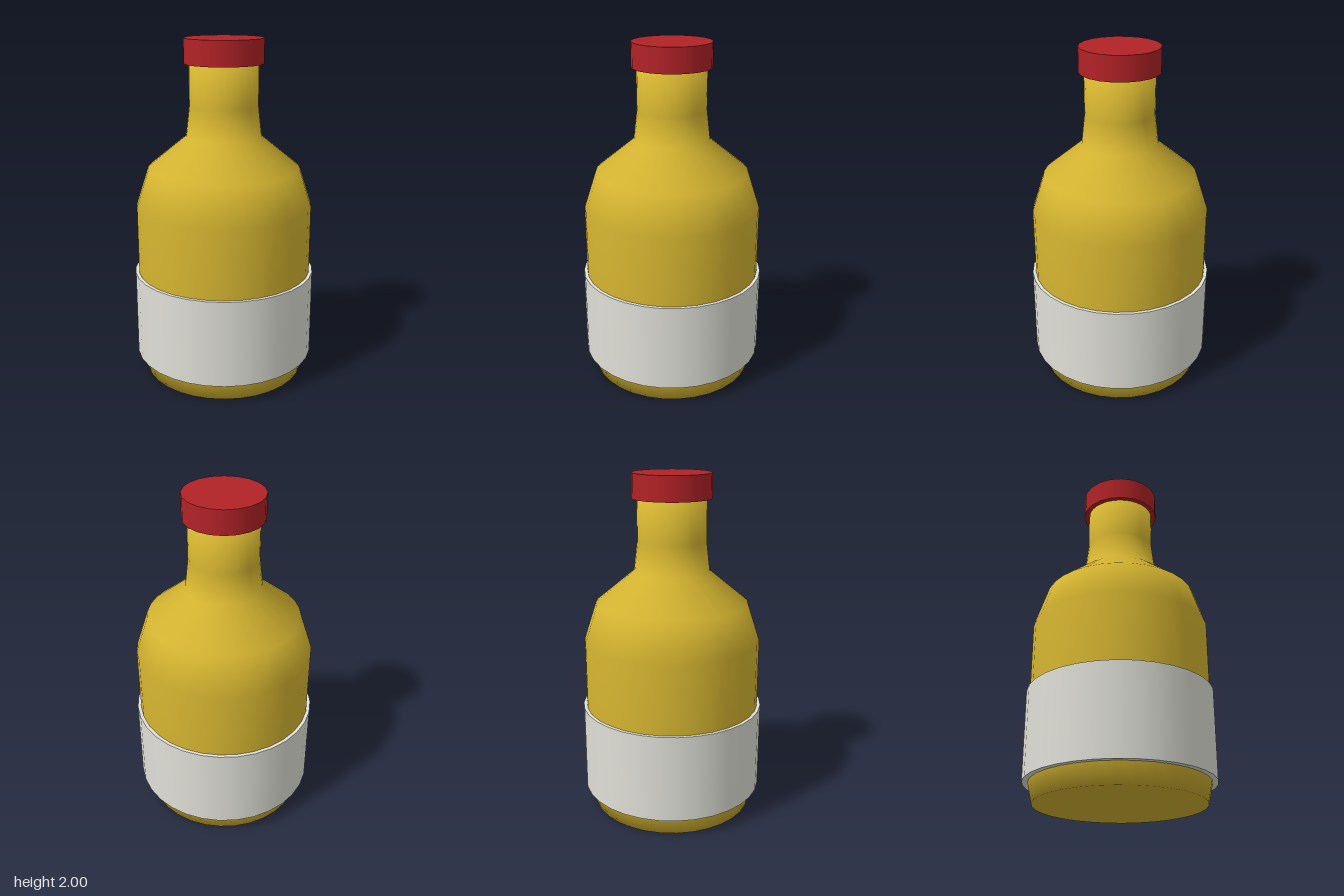
import * as THREE from 'three';

const material = (name, color) => {
  const m = new THREE.MeshStandardMaterial({ color });
  m.name = name;
  return m;
};

export function createModel() {
  const gold = material('golden glass', 0xd4b430);
  const white = material('label off-white', 0xe0e0d8);
  const red = material('cap red', 0xb22226);

  const group = new THREE.Group();
  group.name = 'bottle';

  const add = (name, geometry, mat, y = 0) => {
    const mesh = new THREE.Mesh(geometry, mat);
    mesh.name = name;
    mesh.position.y = y;
    group.add(mesh);
  };

  // Body, shoulder and neck turned from one smooth profile
  const profile = [
    [0, 0], [0.48, 0], [0.517, 0.17], [0.517, 1.04], [0.445, 1.26],
    [0.22, 1.445], [0.2, 1.62], [0.2, 1.88], [0, 1.88],
  ].map(([r, y]) => new THREE.Vector2(r, y));
  add('body', new THREE.LatheGeometry(profile, 32), gold);

  // Label band standing slightly proud of the body
  const bottom = 0.115, top = 0.632;
  add('labelBand', new THREE.CylinderGeometry(0.537, 0.537, top - bottom, 32), white, (top + bottom) / 2);

  // Cap
  add('cap', new THREE.CylinderGeometry(0.229, 0.229, 0.142, 20), red, 1.929);

  return group;
}
